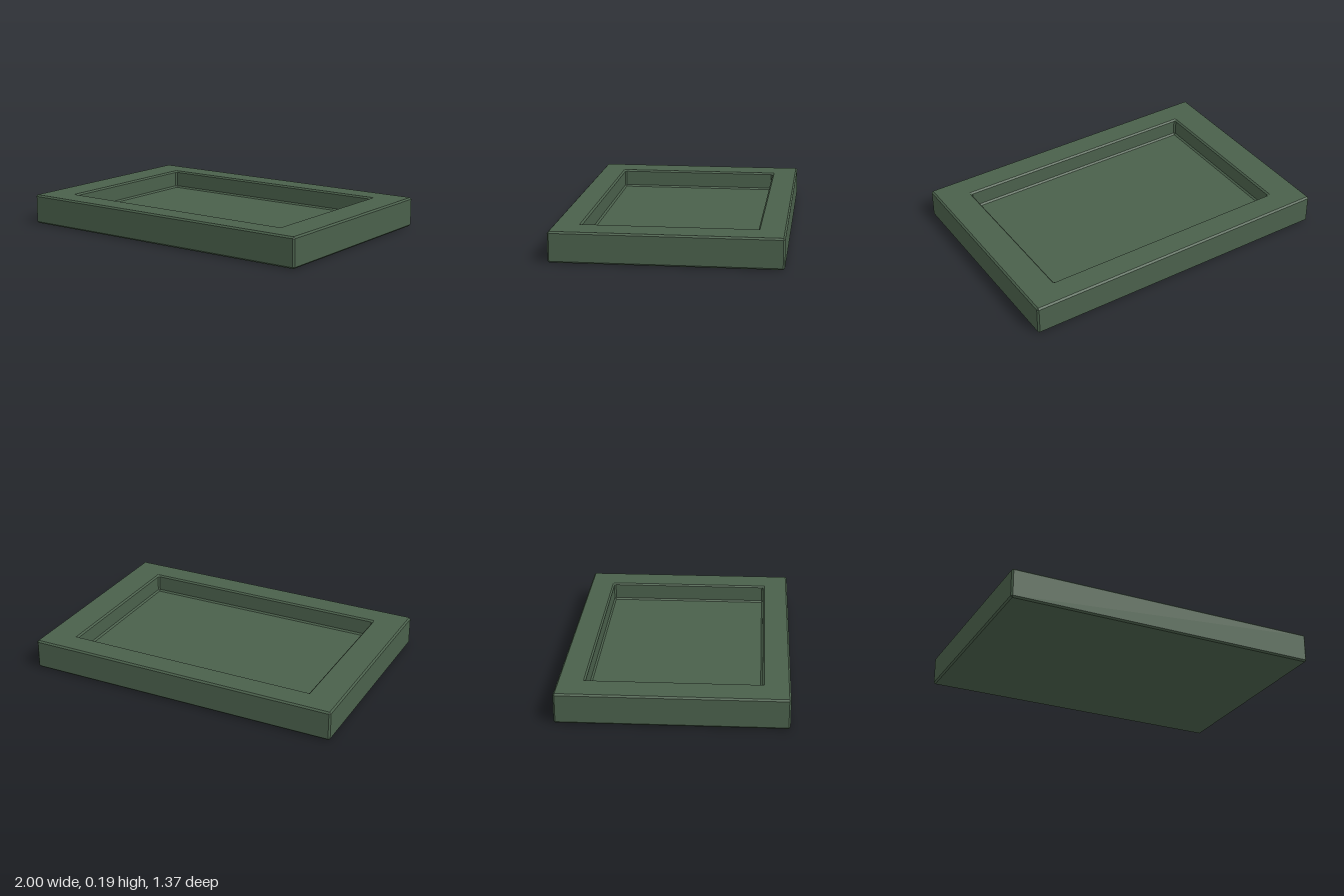
import * as THREE from 'three';

// Corner points of a rectangle at height y, with each corner cut by c
function ring([hx, hz, y, c]) {
  return [
    [hx, hz - c], [hx - c, hz], [-hx + c, hz], [-hx, hz - c],
    [-hx, -hz + c], [-hx + c, -hz], [hx - c, -hz], [hx, -hz + c],
  ].map(([x, z]) => new THREE.Vector3(x, y, z));
}

// Joins consecutive rings with flat faces, skipping collapsed triangles
function loftRings(sections) {
  const rings = sections.map(ring);
  const points = [];
  const addTriangle = (...t) => {
    if (new THREE.Triangle(...t).getArea() > 1e-9) points.push(...t);
  };
  for (let i = 0; i < rings.length - 1; i++) {
    const low = rings[i], high = rings[i + 1];
    for (let j = 0; j < low.length; j++) {
      const k = (j + 1) % low.length;
      addTriangle(low[j], high[j], low[k]);
      addTriangle(high[j], high[k], low[k]);
    }
  }
  const geometry = new THREE.BufferGeometry().setFromPoints(points);
  geometry.computeVertexNormals();
  return geometry;
}

export function createModel() {
  const green = new THREE.MeshStandardMaterial({ color: 0x4a604b });
  green.name = 'dark green';

  const X = 1, Z = 0.685, H = 0.186; // outer half sizes and height
  const RX = 0.805, RZ = 0.53, FLOOR = 0.07; // recess opening and floor height
  const B = 0.01; // bevel

  // Underside, outer wall, rim, recess wall and floor in one closed skin
  const tray = new THREE.Mesh(loftRings([
    [0, 0, 0, 0],
    [X - B, Z - B, 0, 0],
    [X, Z, B, B],
    [X, Z, H - B, B],
    [X - B, Z - B, H, 0],
    [RX, RZ, H, 0],
    [RX - B, RZ - B, H - B, B],
    [RX - B, RZ - B, FLOOR + B, B],
    [RX - 2 * B, RZ - 2 * B, FLOOR, 0],
    [0, 0, FLOOR, 0],
  ]), green);
  tray.name = 'recessedTray';

  const model = new THREE.Group();
  model.name = 'tray';
  model.add(tray);
  return model;
}
